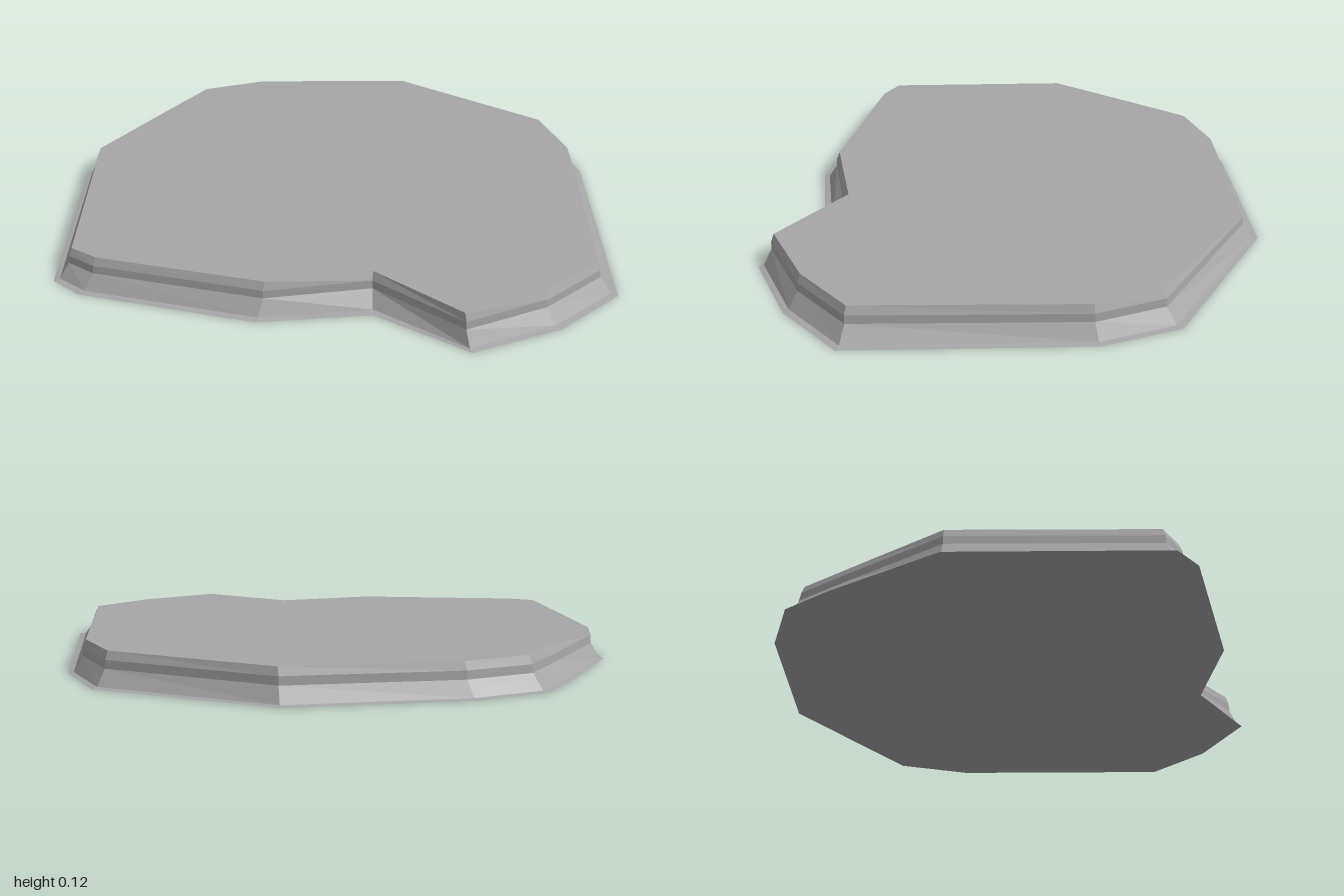
import * as THREE from 'three';

// Each corner: ground outline x, z and top outline x, z
const corners = [
  [0.30, -0.915, 0.30, -0.84],
  [0.905, -0.55, 0.85, -0.485],
  [1.0, -0.27, 0.935, -0.25],
  [1.0, 0.585, 0.92, 0.55],
  [0.77, 0.78, 0.715, 0.72],
  [0.46, 0.905, 0.435, 0.845],
  [0.135, 0.70, 0.135, 0.605],
  [-0.27, 0.74, -0.235, 0.67],
  [-0.90, 0.58, -0.835, 0.525],
  [-1.0, 0.50, -0.93, 0.465],
  [-1.0, -0.25, -0.935, -0.245],
  [-0.745, -0.64, -0.70, -0.565],
  [-0.615, -0.81, -0.555, -0.76],
  [-0.35, -0.895, -0.315, -0.835],
];

// Edge profile from the top down: [outward fraction, height]
const profile = [[0, 0.12], [0.17, 0.09], [0.2, 0.06], [0.7, 0.004], [1, 0]];

const ring = ([t, y]) => corners.map(([ox, oz, ix, iz]) =>
  new THREE.Vector3(ix + (ox - ix) * t, y, iz + (oz - iz) * t));

// Faceted skirt lofted through the profile rings
function edgeGeometry() {
  const rings = profile.map(ring);
  const points = [];
  for (let r = 0; r < rings.length - 1; r++) {
    for (let i = 0; i < corners.length; i++) {
      const j = (i + 1) % corners.length;
      const [a, b, c, d] = [rings[r][i], rings[r][j], rings[r + 1][j], rings[r + 1][i]];
      points.push(a, b, d, b, c, d);
    }
  }
  const geometry = new THREE.BufferGeometry().setFromPoints(points);
  geometry.computeVertexNormals();
  return geometry;
}

// Flat cap over a ring, facing up (side = 1) or down (side = -1)
function capGeometry(points, side) {
  const shape = new THREE.Shape(points.map(p => new THREE.Vector2(p.x, -side * p.z)));
  return new THREE.ShapeGeometry(shape)
    .rotateX(-side * Math.PI / 2)
    .translate(0, points[0].y, 0);
}

export function createModel() {
  const stone = new THREE.MeshStandardMaterial({ color: 0xa6a6a6, flatShading: true });
  stone.name = 'grey stone';
  const group = new THREE.Group();
  group.name = 'stone slab';
  const add = (name, geometry) => {
    const mesh = new THREE.Mesh(geometry, stone);
    mesh.name = name;
    group.add(mesh);
  };
  add('slabTop', capGeometry(ring(profile[0]), 1));
  add('slabEdge', edgeGeometry());
  add('slabBase', capGeometry(ring(profile[profile.length - 1]), -1));
  return group;
}
